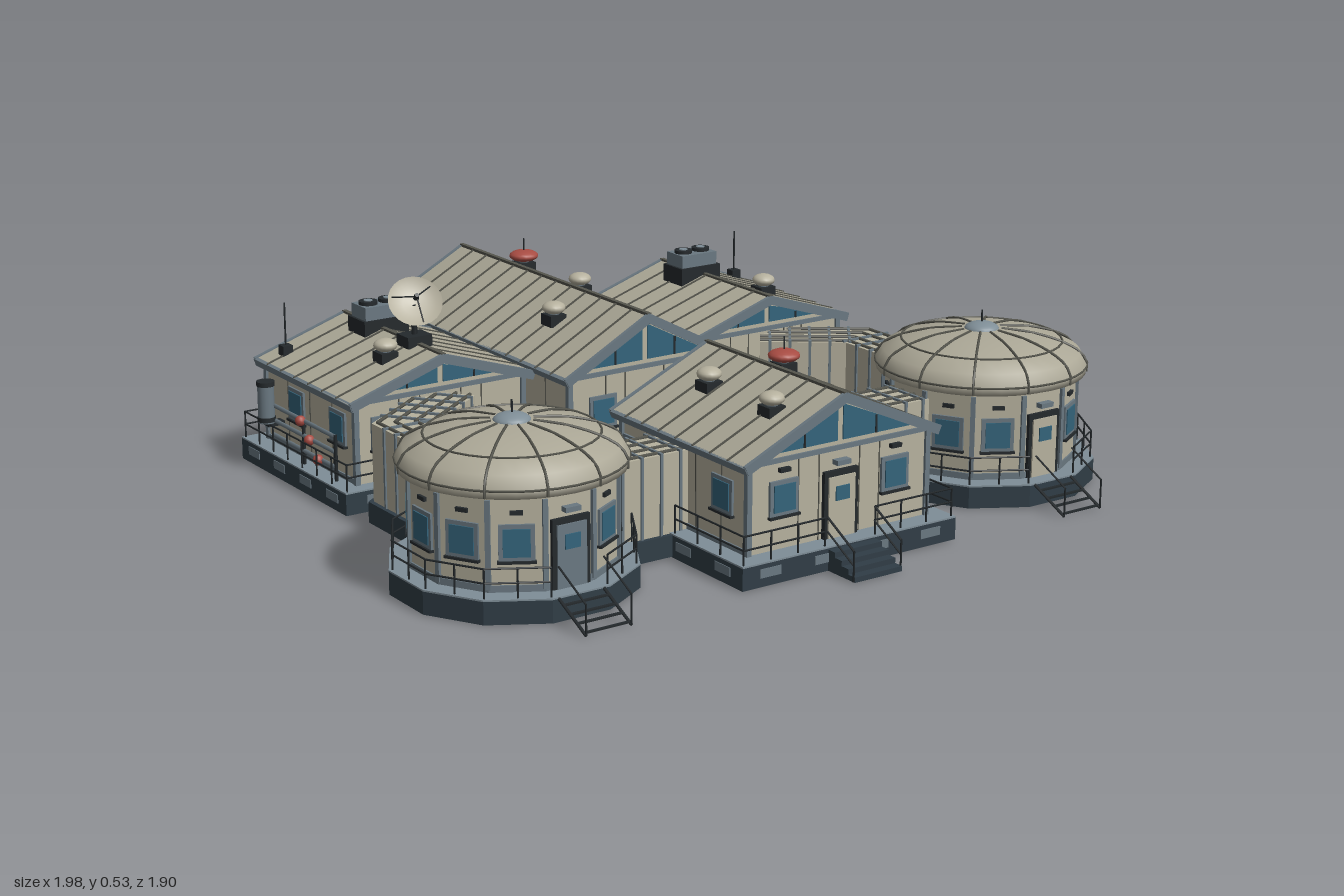
import * as THREE from 'three';

const mat = (name, color, side = THREE.FrontSide) => Object.assign(new THREE.MeshStandardMaterial({ color, side }), { name });
const M = {
  wall: mat('warm wall panel', 0xb6b19e), roof: mat('roof panel', 0xaba796), seam: mat('seam', 0x55554d),
  trim: mat('blue grey trim', 0x6a7881), deck: mat('deck plate', 0x7f8e97), base: mat('dark foundation', 0x303d46),
  dark: mat('dark metal', 0x24292c), glass: mat('window glass', 0x34647b), red: mat('beacon red', 0xa84c43),
  dish: mat('dish shell', 0xb6b19f, THREE.DoubleSide),
};
const V = (x, y, z) => new THREE.Vector3(x, y, z);
const DECK = 0.059;

function add(parent, name, geo, m, x = 0, y = 0, z = 0, ry = 0) {
  const mesh = new THREE.Mesh(geo, m);
  mesh.name = name;
  mesh.position.set(x, y, z);
  mesh.rotation.y = ry;
  parent.add(mesh);
  return mesh;
}
const box = (p, name, m, w, h, d, x, y, z, ry) => add(p, name, new THREE.BoxGeometry(w, h, d), m, x, y, z, ry);
const cyl = (p, name, m, r0, r1, h, x, y, z, n = 16) => add(p, name, new THREE.CylinderGeometry(r0, r1, h, n), m, x, y, z);
function group(parent, name, x = 0, y = 0, z = 0, ry = 0) {
  const g = new THREE.Group();
  g.name = name;
  g.position.set(x, y, z);
  g.rotation.y = ry;
  parent.add(g);
  return g;
}
function rod(p, name, m, a, b, r = 0.0025) {
  const d = b.clone().sub(a), c = a.clone().add(b).multiplyScalar(0.5);
  const o = cyl(p, name, m, r, r, d.length(), c.x, c.y, c.z, 5);
  o.quaternion.setFromUnitVectors(V(0, 1, 0), d.normalize());
}
// upright prism over a plan outline of [x, z] points
function prism(p, name, m, pts, y0, y1) {
  const geo = new THREE.ExtrudeGeometry(new THREE.Shape(pts.map(([x, z]) => new THREE.Vector2(x, -z))), { depth: y1 - y0, bevelEnabled: false });
  return add(p, name, geo.rotateX(-Math.PI / 2), m, 0, y0, 0);
}
function platform(p, name, pts) {
  prism(p, name + 'Foundation', M.base, pts, 0, 0.055);
  prism(p, name + 'Deck', M.deck, pts, 0.055, DECK);
  pts.forEach(([x, z], i) => { // lighter plates along the edges
    const [X, Z] = pts[(i + 1) % pts.length], len = Math.hypot(X - x, Z - z), n = Math.floor(len / 0.14);
    for (let k = 0; k < n; k++) {
      const t = (k + 0.5) / n;
      box(p, 'edgePlate', M.trim, 0.06, 0.022, 0.004, x + (X - x) * t, 0.033, z + (Z - z) * t, -Math.atan2(Z - z, X - x));
    }
  });
}
function railing(p, pts) {
  const g = group(p, 'railing');
  for (let i = 0; i + 1 < pts.length; i++) {
    const a = V(pts[i][0], DECK, pts[i][1]), b = V(pts[i + 1][0], DECK, pts[i + 1][1]);
    const n = Math.max(1, Math.round(a.distanceTo(b) / 0.085));
    for (const h of [0.036, 0.07]) rod(g, 'handrail', M.dark, a.clone().setY(DECK + h), b.clone().setY(DECK + h));
    for (let k = 0; k <= n; k++) {
      const q = a.clone().lerp(b, k / n);
      rod(g, 'post', M.dark, q, q.clone().setY(DECK + 0.07));
    }
  }
}
function windowAt(p, x, y, z, ry, w = 0.062, h = 0.066) {
  const g = group(p, 'window', x, y, z, ry);
  box(g, 'windowFrame', M.trim, w + 0.02, h + 0.02, 0.008, 0, 0, 0.002);
  box(g, 'windowPane', M.glass, w, h, 0.008, 0, 0, 0.005);
  box(g, 'windowSill', M.dark, w + 0.026, 0.006, 0.016, 0, -h / 2 - 0.012, 0.004);
}
function door(p, x, z, leaf = M.wall) {
  const g = group(p, 'door', x, DECK, z);
  box(g, 'doorFrame', M.dark, 0.1, 0.165, 0.012, 0, 0.0825, 0.002);
  box(g, 'doorLeaf', leaf, 0.078, 0.15, 0.012, 0, 0.076, 0.006);
  box(g, 'doorPane', M.glass, 0.04, 0.035, 0.012, 0, 0.11, 0.009);
  box(g, 'doorLamp', M.trim, 0.04, 0.012, 0.02, 0, 0.185, 0.008);
}

// gabled building with its ridge along z
function house(root, name, cx, z0, z1, half, eave, ridge, glassEnds) {
  const g = group(root, name, cx, 0, 0), R = half + 0.025, depth = z1 - z0, zc = (z0 + z1) / 2;
  const ang = Math.atan2(ridge - eave, R), L = Math.hypot(R, ridge - eave), tan = Math.tan(ang);
  const top = x => ridge - 0.012 - x * tan, wz0 = z0 + 0.022, wz1 = z1 - 0.022;
  const s = new THREE.Shape([[-half, 0.055], [half, 0.055], [half, top(half)], [0, top(0)], [-half, top(half)]].map(q => new THREE.Vector2(...q)));
  add(g, 'walls', new THREE.ExtrudeGeometry(s, { depth: wz1 - wz0, bevelEnabled: false }), M.wall, 0, 0, wz0);
  for (const k of [-1, 1]) {
    const slope = group(g, 'roofSlope', 0, ridge, zc);
    slope.rotation.z = -k * ang;
    box(slope, 'roofPanel', M.roof, L, 0.014, depth, k * L / 2, -0.007, 0);
    const n = Math.round(depth / 0.07);
    for (let i = 1; i < n; i++) box(slope, 'roofSeam', M.seam, L, 0.004, 0.005, k * L / 2, 0.001, -depth / 2 + depth * i / n);
    for (const e of [-1, 1]) box(slope, 'bargeboard', M.trim, L, 0.024, 0.01, k * L / 2, -0.009, e * (depth / 2 - 0.003));
    box(slope, 'gutter', M.trim, 0.01, 0.02, depth, k * (L - 0.003), -0.01, 0);
    // corner posts, panel joints and skirting
    for (const z of [wz0, wz1]) box(g, 'cornerPost', M.trim, 0.014, top(half) - 0.06, 0.014, k * half, (top(half) + 0.05) / 2, z);
    const m = Math.round(depth / 0.12);
    for (let i = 1; i < m; i++) box(g, 'wallJoint', M.seam, 0.004, top(half) - 0.06, 0.003, k * half, (top(half) + 0.05) / 2, wz0 + (wz1 - wz0) * i / m);
    box(g, 'skirting', M.trim, 0.008, 0.014, wz1 - wz0, k * half, 0.066, (wz0 + wz1) / 2);
  }
  box(g, 'ridgeCap', M.seam, 0.012, 0.008, depth, 0, ridge, zc);
  for (const [z, e] of [[wz0, -1], [wz1, 1]]) {
    box(g, 'gableBeam', M.trim, half * 2, 0.012, 0.01, 0, eave - 0.005, z);
    for (const x of [-0.12, -0.06, 0.06, 0.12]) box(g, 'gableJoint', M.seam, 0.003, eave - 0.06, 0.003, x, (eave + 0.05) / 2, z);
    if (!glassEnds.includes(e)) continue;
    for (const k of [-1, 1]) { // pair of glazed triangles under the ridge
      const w = half * 0.8, y = eave + 0.012;
      const t = new THREE.Shape([[k * 0.008, y], [k * w, y], [k * w, Math.max(y + 0.002, top(w) - 0.016)], [k * 0.008, top(0) - 0.018]].map(q => new THREE.Vector2(...q)));
      add(g, 'gableGlass', new THREE.ExtrudeGeometry(t, { depth: 0.006, bevelEnabled: false }), M.glass, 0, 0, z - 0.003);
      box(g, 'gableMullion', M.dark, 0.005, top(w / 2) - y - 0.014, 0.01, k * w / 2, (top(w / 2) - 0.014 + y) / 2, z);
    }
  }
  return g;
}

// sideways offset of a plan path with mitred corners
const offset = (pts, d) => pts.map((p, i) => {
  const dir = (a, b) => new THREE.Vector2(b[0] - a[0], b[1] - a[1]).normalize();
  const u = i ? dir(pts[i - 1], p) : dir(p, pts[1]), v = pts[i + 1] ? dir(p, pts[i + 1]) : u;
  const n = new THREE.Vector2(-u.y - v.y, u.x + v.x).normalize(), k = d / n.dot(new THREE.Vector2(-u.y, u.x));
  return [p[0] + n.x * k, p[1] + n.y * k];
});
function corridor(root, pts) {
  const g = group(root, 'corridor'), outline = w => [...offset(pts, w), ...offset(pts, -w).reverse()];
  prism(g, 'corridorFoundation', M.base, outline(0.085), 0.002, 0.056);
  prism(g, 'corridorShell', M.wall, outline(0.073), 0.056, 0.255);
  for (const d of [-0.06, -0.022, 0.022, 0.06]) {
    const o = offset(pts, d);
    for (let i = 0; i + 1 < o.length; i++) rod(g, 'roofPipe', M.seam, V(o[i][0], 0.257, o[i][1]), V(o[i + 1][0], 0.257, o[i + 1][1]), 0.005);
  }
  for (let i = 0; i + 1 < pts.length; i++) {
    const [[x, z], [X, Z]] = [pts[i], pts[i + 1]], n = Math.round(Math.hypot(X - x, Z - z) / 0.055);
    for (let k = 0; k < n; k++) {
      const t = (k + 0.5) / n;
      box(g, 'corridorRib', M.trim, 0.007, 0.205, 0.155, x + (X - x) * t, 0.158, z + (Z - z) * t, -Math.atan2(Z - z, X - x));
    }
  }
}

function domeModule(root, sx) {
  const g = group(root, 'domeModule', sx * 0.705, 0, 0.485), T = Math.PI / 6;
  const ring = (r, k) => [Math.sin((k + 0.5) * T) * r, Math.cos((k + 0.5) * T) * r];
  const drum = (name, m, r, y0, y1) => add(g, name, new THREE.CylinderGeometry(r, r, y1 - y0, 12).rotateY(T / 2).toNonIndexed(), m, 0, (y0 + y1) / 2, 0).geometry.computeVertexNormals();
  drum('domeFoundation', M.base, 0.297, 0, 0.055);
  drum('domeDeck', M.deck, 0.297, 0.055, DECK);
  drum('drumWall', M.wall, 0.245, DECK, 0.285);
  drum('drumSkirting', M.trim, 0.249, DECK, 0.075);
  const prof = [[0.24, 0.275], [0.268, 0.285], [0.27, 0.305], [0.252, 0.335], [0.205, 0.36], [0.13, 0.38], [0.05, 0.388], [0, 0.389]];
  add(g, 'domeRoof', new THREE.LatheGeometry(prof.map(q => new THREE.Vector2(...q)), 36), M.roof);
  const arc = new THREE.CatmullRomCurve3(prof.slice(1, 7).map(([r, y]) => V(0, y + 0.001, r)));
  for (let k = 0; k < 12; k++) {
    add(g, 'domeRib', new THREE.TubeGeometry(arc, 12, 0.0035, 5), M.seam, 0, 0, 0, (k + 0.5) * T);
    const a = k * T, inward = sx > 0 ? 9 : 3, r = 0.2367;
    const [px, pz] = ring(0.245, k);
    box(g, 'drumPost', M.trim, 0.012, 0.21, 0.012, px, 0.17, pz, a + T / 2);
    if (k === 0 || k === 6 || k === inward) continue;
    windowAt(g, Math.sin(a) * r, 0.175, Math.cos(a) * r, a);
    box(g, 'wallLamp', M.dark, 0.03, 0.01, 0.014, Math.sin(a) * r, 0.245, Math.cos(a) * r, a);
    railing(g, [ring(0.288, k - 1), ring(0.288, k)]);
  }
  for (const [r, y] of [[0.27, 0.304], [0.205, 0.361]]) add(g, 'domeHoop', new THREE.TorusGeometry(r, 0.003, 5, 36).rotateX(Math.PI / 2), M.seam, 0, y, 0);
  const cap = add(g, 'domeCap', new THREE.SphereGeometry(0.045, 18, 8, 0, Math.PI * 2, 0, Math.PI / 2), M.deck, 0, 0.385, 0);
  cap.scale.y = 0.45;
  rod(g, 'domeAerial', M.dark, V(0, 0.4, 0), V(0, 0.435, 0));
  door(g, 0, 0.238, sx < 0 ? M.trim : M.wall);
  // open stair
  for (const k of [-0.06, 0.06]) {
    rod(g, 'stairStringer', M.dark, V(k, 0.055, 0.285), V(k, 0.002, 0.395), 0.004);
    rod(g, 'stairHandrail', M.dark, V(k, 0.13, 0.285), V(k, 0.075, 0.395));
    rod(g, 'stairPost', M.dark, V(k, 0.002, 0.395), V(k, 0.075, 0.395));
  }
  for (let i = 0; i < 4; i++) box(g, 'stairTread', M.dark, 0.12, 0.004, 0.008, 0, 0.045 - i * 0.013, 0.305 + i * 0.027);
}

function roofVent(root, x, y, z, red) {
  const g = group(root, red ? 'redBeacon' : 'roofVent', x, y, z);
  box(g, 'ventBase', M.dark, 0.048, 0.03, 0.048, 0, 0, 0);
  cyl(g, 'ventNeck', M.trim, 0.015, 0.015, 0.03, 0, 0.02, 0, 10);
  const r = red ? 0.04 : 0.031;
  add(g, 'ventHood', new THREE.SphereGeometry(r, 16, 10), red ? M.red : M.wall, 0, 0.032, 0).scale.y = red ? 0.4 : 0.55;
  if (red) rod(g, 'beaconAerial', M.dark, V(0, 0.04, 0), V(0, 0.08, 0), 0.002);
}

export function createModel() {
  const root = new THREE.Group();
  root.name = 'outpostBase';
  const half = [[0.28, 0.035], [0.28, -0.13], [0.81, -0.13], [0.81, -0.7], [0.28, -0.7], [0.28, -0.95]];
  platform(root, 'mainBlock', [...half, ...half.map(([x, z]) => [-x, z]).reverse()]);
  platform(root, 'frontBlock', [[-0.318, 0.228], [0.318, 0.228], [0.318, 0.85], [-0.318, 0.85]]);

  const hall = house(root, 'mainHall', 0, -0.92, 0.012, 0.23, 0.29, 0.425, [1]);
  const front = house(root, 'entranceHall', 0, 0.262, 0.818, 0.265, 0.282, 0.412, [1]);
  door(front, 0, 0.798);
  for (const k of [-1, 1]) {
    windowAt(front, k * 0.165, 0.185, 0.797, 0);
    box(front, 'wallLamp', M.dark, 0.03, 0.01, 0.016, k * 0.165, 0.253, 0.8);
    for (const z of [0.33, 0.7]) windowAt(front, k * 0.265, 0.185, z, k * Math.PI / 2);
    for (const z of [-0.79]) windowAt(hall, k * 0.23, 0.185, z, k * Math.PI / 2);
    windowAt(front, k * 0.14, 0.185, 0.283, Math.PI);
    windowAt(hall, k * 0.13, 0.185, -0.01, 0);
  }
  // cargo doors and wall ladder at the back
  for (const k of [-1, 1]) {
    box(hall, 'cargoDoor', M.trim, 0.096, 0.18, 0.01, k * 0.05, 0.15, -0.899);
    box(hall, 'cargoDoorPanel', M.wall, 0.08, 0.164, 0.01, k * 0.05, 0.15, -0.902);
    rod(hall, 'cargoBrace', M.trim, V(k * 0.012, 0.225, -0.906), V(k * 0.088, 0.07, -0.906), 0.004);
    rod(hall, 'ladderRail', M.dark, V(-0.175 + k * 0.022, 0.06, -0.915), V(-0.175 + k * 0.022, 0.31, -0.915), 0.003);
  }
  for (let i = 0; i < 10; i++) rod(hall, 'ladderRung', M.dark, V(-0.197, 0.075 + i * 0.025, -0.915), V(-0.153, 0.075 + i * 0.025, -0.915));

  // entrance steps
  for (let i = 0; i < 4; i++) box(root, 'entranceStep', M.base, 0.14, 0.052 - i * 0.013, 0.025, 0, (0.052 - i * 0.013) / 2, 0.8625 + i * 0.025);
  for (const k of [-0.07, 0.07]) {
    rod(root, 'stepHandrail', M.dark, V(k, 0.13, 0.845), V(k, 0.075, 0.945), 0.003);
    rod(root, 'stepMidrail', M.dark, V(k, 0.095, 0.845), V(k, 0.04, 0.945));
    rod(root, 'stepPost', M.dark, V(k, 0, 0.945), V(k, 0.075, 0.945));
  }

  for (const k of [-1, 1]) {
    const wing = house(root, 'sideWing', k * 0.512, -0.67, -0.15, 0.243, 0.275, 0.362, [-1, 1]);
    const turn = k * Math.PI / 2, wx = k * 0.243;
    windowAt(wing, wx, 0.19, -0.26, turn);
    windowAt(wing, wx, 0.19, -0.48, turn);
    for (const x of [-0.13, 0.13]) windowAt(wing, x, 0.185, -0.648, Math.PI);
    windowAt(wing, k * 0.16, 0.185, -0.172, 0);
    // service pipes, valves and tank on the outer wall
    const px = k * 0.27;
    [[0.095, -0.31], [0.135, -0.355], [0.175, -0.4]].forEach(([y, vz]) => {
      rod(wing, 'servicePipe', M.trim, V(px, y, -0.23), V(px, y, -0.57), 0.006);
      add(wing, 'redValve', new THREE.SphereGeometry(0.014, 10, 8), M.red, px + k * 0.008, y, vz);
    });
    for (const z of [-0.23, -0.4]) rod(wing, 'pipeRiser', M.dark, V(px, DECK, z), V(px, 0.18, z), 0.005);
    cyl(wing, 'wallTank', M.trim, 0.022, 0.022, 0.11, k * 0.288, 0.185, -0.57, 14);
    for (const y of [0.14, 0.235]) cyl(wing, 'tankBand', M.dark, 0.024, 0.024, 0.012, k * 0.288, y, -0.57, 14);
    box(wing, 'tankBracket', M.dark, 0.05, 0.01, 0.03, k * 0.265, 0.125, -0.57);
    // roof cooler with two fans
    const cool = group(wing, 'roofCooler', -k * 0.012, 0.37, -0.505);
    box(cool, 'coolerFoot', M.dark, 0.13, 0.05, 0.09, 0, -0.01, 0);
    box(cool, 'coolerBody', M.trim, 0.115, 0.04, 0.075, 0, 0.03, 0);
    for (const x of [-0.029, 0.029]) {
      cyl(cool, 'fanRing', M.dark, 0.025, 0.025, 0.012, x, 0.053, 0, 16);
      cyl(cool, 'fanHub', M.deck, 0.012, 0.012, 0.006, x, 0.058, 0, 10);
    }
    box(wing, 'aerialFoot', M.dark, 0.028, 0.03, 0.028, k * 0.208, 0.302, -0.605);
    rod(wing, 'aerial', M.dark, V(k * 0.208, 0.3, -0.605), V(k * 0.208, 0.43, -0.605));

    railing(root, [[k * 0.6, -0.138], [k * 0.802, -0.138], [k * 0.802, -0.692], [k * 0.29, -0.692]]);
    railing(root, [[k * 0.075, 0.842], [k * 0.31, 0.842], [k * 0.31, 0.57]]);
    railing(root, [[k * 0.31, 0.4], [k * 0.31, 0.236], [0, 0.236]]);
    corridor(root, [[k * 0.705, 0.27], [k * 0.705, -0.01], [k * 0.49, -0.17]]);
    corridor(root, [[k * 0.26, 0.485], [k * 0.48, 0.485]]);
    domeModule(root, k);
  }

  for (const [x, y, z, red] of [[0.05, 0.405, -0.67, 1], [0.09, 0.375, 0.46, 1], [0.11, 0.37, -0.48], [-0.115, 0.37, -0.26],
    [-0.6, 0.338, -0.29], [0.59, 0.338, -0.29], [-0.12, 0.358, 0.44], [-0.12, 0.358, 0.69]]) roofVent(root, x, y, z, red);

  // dish tilted up and forward
  rod(root, 'dishMast', M.dark, V(-0.51, 0.35, -0.3), V(-0.51, 0.46, -0.3), 0.008);
  box(root, 'dishFoot', M.dark, 0.07, 0.03, 0.06, -0.51, 0.368, -0.3);
  const dish = group(root, 'dish', -0.51, 0.46, -0.296);
  dish.rotation.set(0.82, 0, 0.25);
  add(dish, 'dishBowl', new THREE.LatheGeometry([[0, 0], [0.03, 0.003], [0.055, 0.011], [0.07, 0.02]].map(q => new THREE.Vector2(...q)), 24), M.dish);
  for (let i = 0; i < 3; i++) {
    const a = i * Math.PI * 2 / 3;
    rod(dish, 'feedStrut', M.dark, V(Math.sin(a) * 0.06, 0.015, Math.cos(a) * 0.06), V(0, 0.045, 0), 0.002);
  }
  cyl(dish, 'feedHorn', M.dark, 0.006, 0.008, 0.016, 0, 0.045, 0, 8);
  return root;
}
